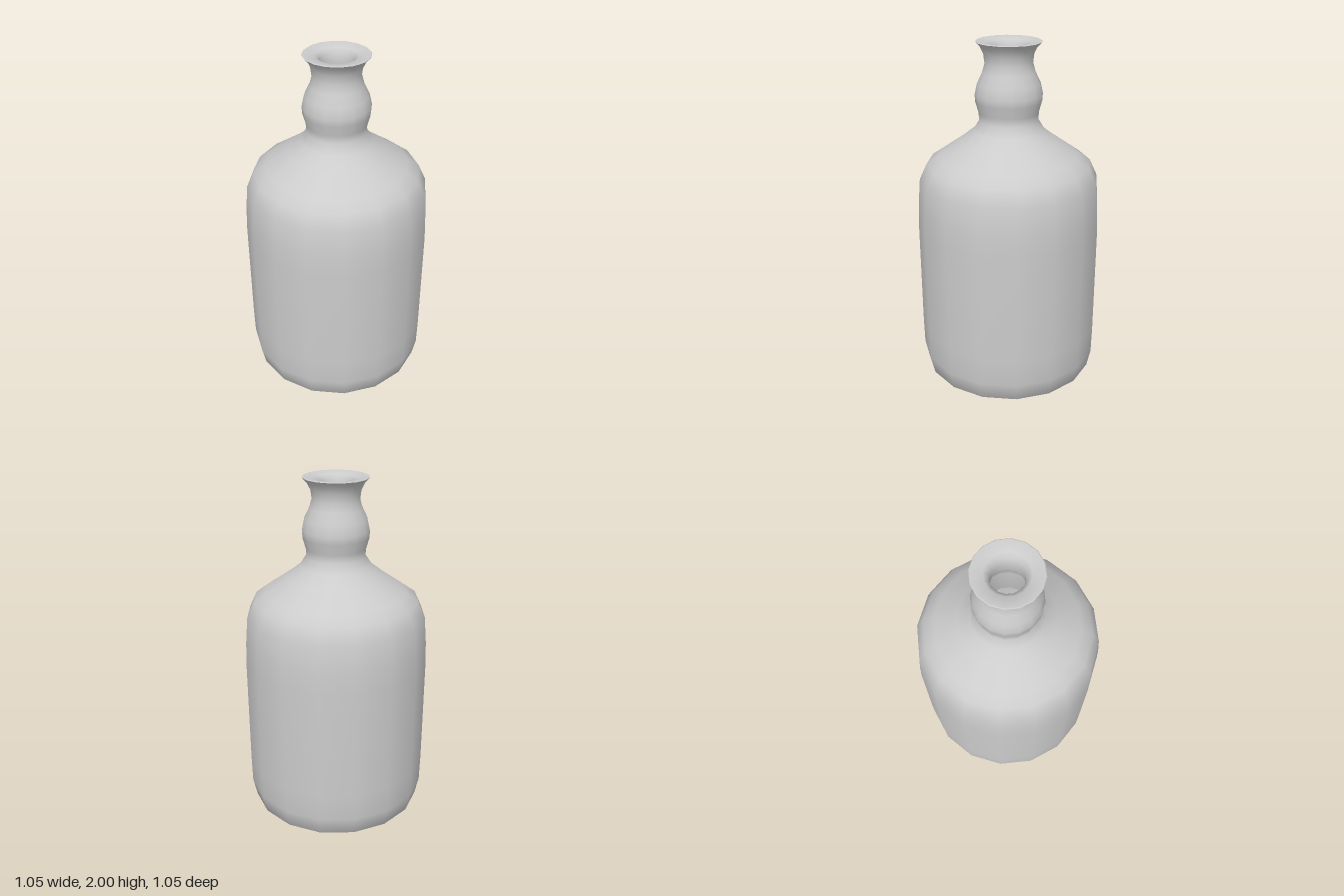
import * as THREE from 'three';

const SIDES = 16;

export function createModel() {
  const bottle = new THREE.Group();
  bottle.name = 'bottle';
  const material = new THREE.MeshStandardMaterial({ color: 0xcccccc });

  // Each part is a profile of [radius, height] turned around the y axis
  const turn = (name, profile) => {
    const points = profile.map(([r, y]) => new THREE.Vector2(r, y));
    const mesh = new THREE.Mesh(new THREE.LatheGeometry(points, SIDES), material);
    mesh.name = name;
    bottle.add(mesh);
  };

  // Base, straight body, shoulder, bulged neck and flared lip
  turn('outerGlass', [
    [0, 0], [0.3, 0], [0.44, 0.012], [0.5, 0.055], [0.522, 0.16], [0.525, 0.32],
    [0.525, 0.6], [0.525, 0.95], [0.52, 1.08], [0.507, 1.23], [0.465, 1.32],
    [0.4, 1.365], [0.27, 1.455], [0.2, 1.51], [0.165, 1.565], [0.168, 1.61],
    [0.185, 1.67], [0.188, 1.71], [0.175, 1.77], [0.146, 1.83], [0.132, 1.88],
    [0.138, 1.93], [0.158, 1.97], [0.182, 1.995],
  ]);

  // Rim, mouth and hollow interior
  turn('innerGlass', [
    [0.182, 1.995], [0.175, 2], [0.115, 1.988], [0.09, 1.965], [0.085, 1.92],
    [0.085, 1.87], [0.1, 1.82], [0.14, 1.71], [0.12, 1.58], [0.2, 1.45],
    [0.4, 1.31], [0.46, 1.2], [0.48, 0.95], [0.48, 0.16], [0.44, 0.06], [0.38, 0.045], [0, 0.045],
  ]);

  return bottle;
}
